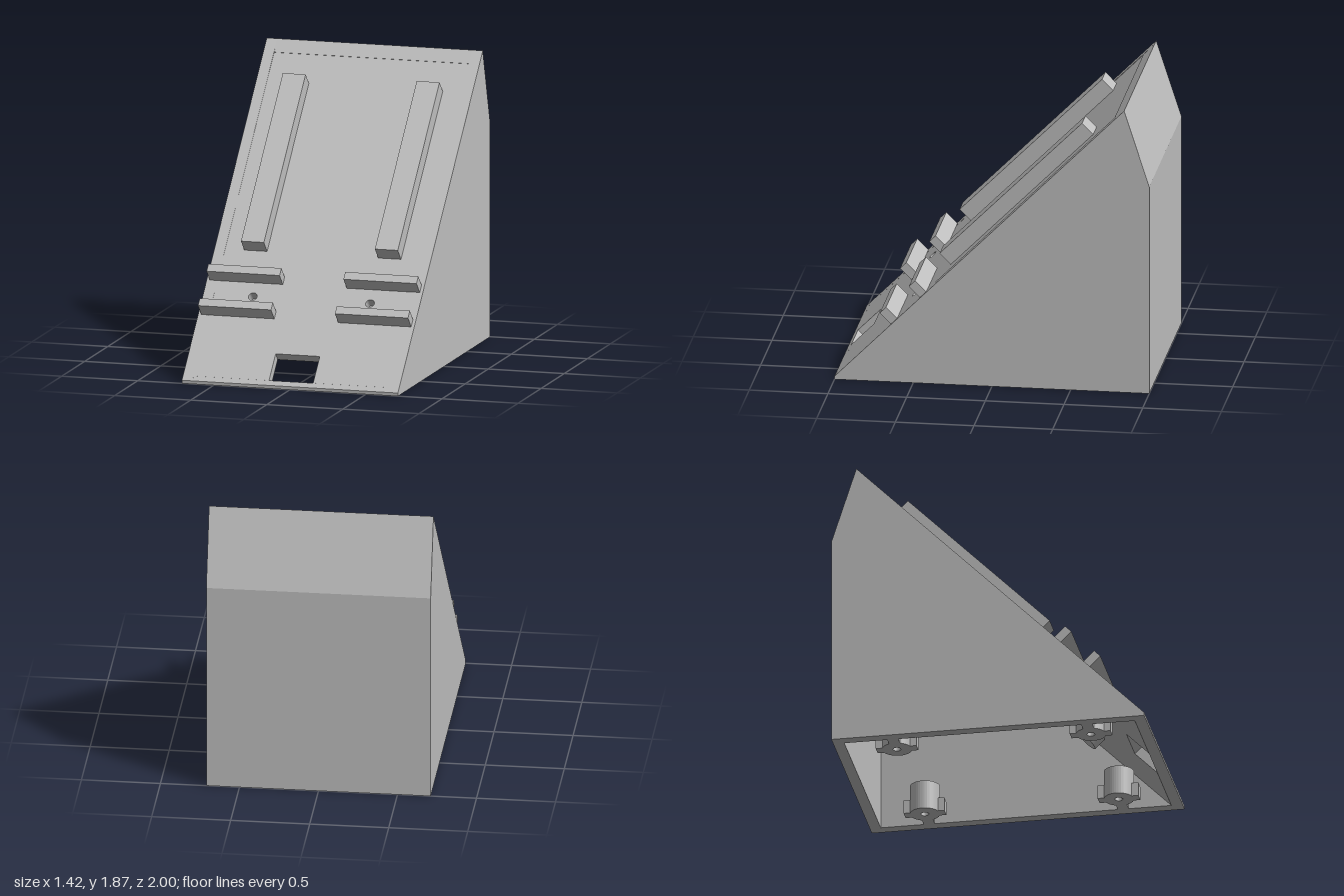
import * as THREE from 'three';

const W = 0.71, T = 0.07, PLATE = 0.065; // half width, wall, sloped plate

export function createModel() {
  const root = new THREE.Group();
  root.name = 'wedgeStand';
  const grey = new THREE.MeshStandardMaterial({ color: 0xc0c0c0 });
  grey.name = 'plain grey';

  const add = (parent, name, geo, x = 0, y = 0, z = 0) => {
    const m = new THREE.Mesh(geo, grey);
    m.name = name;
    m.position.set(x, y, z);
    parent.add(m);
    return m;
  };
  // Prism along x from a [z, y] side profile
  const prism = (pts, x0, x1) => {
    const s = new THREE.Shape(pts.map(([z, y]) => new THREE.Vector2(-z, y)));
    return new THREE.ExtrudeGeometry(s, { depth: x1 - x0, bevelEnabled: false })
      .rotateY(Math.PI / 2).translate(x0, 0, 0);
  };
  const circle = (x, y, r) => new THREE.Path().absarc(x, y, r, 0, Math.PI * 2, true);

  // Side walls
  const side = [[1, 0], [1, 0.02], [-0.84, 1.865], [-1, 1.37], [-1, 0]];
  add(root, 'leftWall', prism(side, W - T, W));
  add(root, 'rightWall', prism(side, -W, T - W));

  // Back wall with leaning top, and the front lip
  const inX = W - T;
  add(root, 'backWall', prism([[-0.768, 1.791], [-0.84, 1.865], [-1, 1.37], [-1, 0],
    [-0.93, 0], [-0.93, 1.36], [-0.814, 1.745]], -inX, inX));
  add(root, 'frontLip', prism([[1, 0], [1, 0.02], [0.974, 0.046], [0.928, 0]], -inX, inX));

  // Sloped face: local y runs up the slope, local z points outward
  const slope = new THREE.Group();
  slope.name = 'slope';
  slope.position.set(0, 0.02, 1);
  slope.rotation.x = -Math.PI / 4;
  root.add(slope);

  const u0 = 0.037, u1 = 2.503, win = 0.145, winTop = 0.24, holeX = 0.385, holeU = 0.66;
  const face = new THREE.Shape([[-inX, u0], [-win, u0], [-win, winTop], [win, winTop],
    [win, u0], [inX, u0], [inX, u1], [-inX, u1]].map(p => new THREE.Vector2(...p)));
  face.holes.push(circle(-holeX, holeU, 0.028), circle(holeX, holeU, 0.028));
  add(slope, 'slopedPlate', new THREE.ExtrudeGeometry(face,
    { depth: PLATE, bevelEnabled: false, curveSegments: 24 }), 0, 0, -PLATE);

  for (const s of [-1, 1]) {
    // Long rails, short ledges and the blind boss behind each hole
    add(slope, 'longRail', new THREE.BoxGeometry(0.15, 1.28, 0.1), s * 0.44, 1.645, 0.05);
    for (const u of [0.53, 0.792])
      add(slope, 'shortLedge', new THREE.BoxGeometry(0.48, 0.056, 0.1), s * 0.45, u, 0.05);
    add(slope, 'holeBoss', new THREE.CylinderGeometry(0.083, 0.083, 0.085, 32).rotateX(Math.PI / 2),
      s * holeX, holeU, -PLATE - 0.0425);

    // Screw posts inside the base, webbed to the side walls
    for (const z of [-0.62, 0.62]) {
      const post = new THREE.Group();
      post.name = 'screwPost';
      post.position.set(s * 0.49, 0, z);
      root.add(post);
      const ring = new THREE.Shape().absarc(0, 0, 0.095, 0, Math.PI * 2);
      ring.holes.push(circle(0, 0, 0.025));
      add(post, 'postTube', new THREE.ExtrudeGeometry(ring,
        { depth: 0.19, bevelEnabled: false, curveSegments: 20 }).rotateX(-Math.PI / 2));
      add(post, 'sideWeb', new THREE.BoxGeometry(0.08, 0.12, 0.07), s * 0.12, 0.06, 0);
      for (const d of [-1, 1])
        add(post, 'postFin', new THREE.BoxGeometry(0.07, 0.09, 0.06), 0, 0.045, d * 0.1);
    }
  }
  return root;
}
